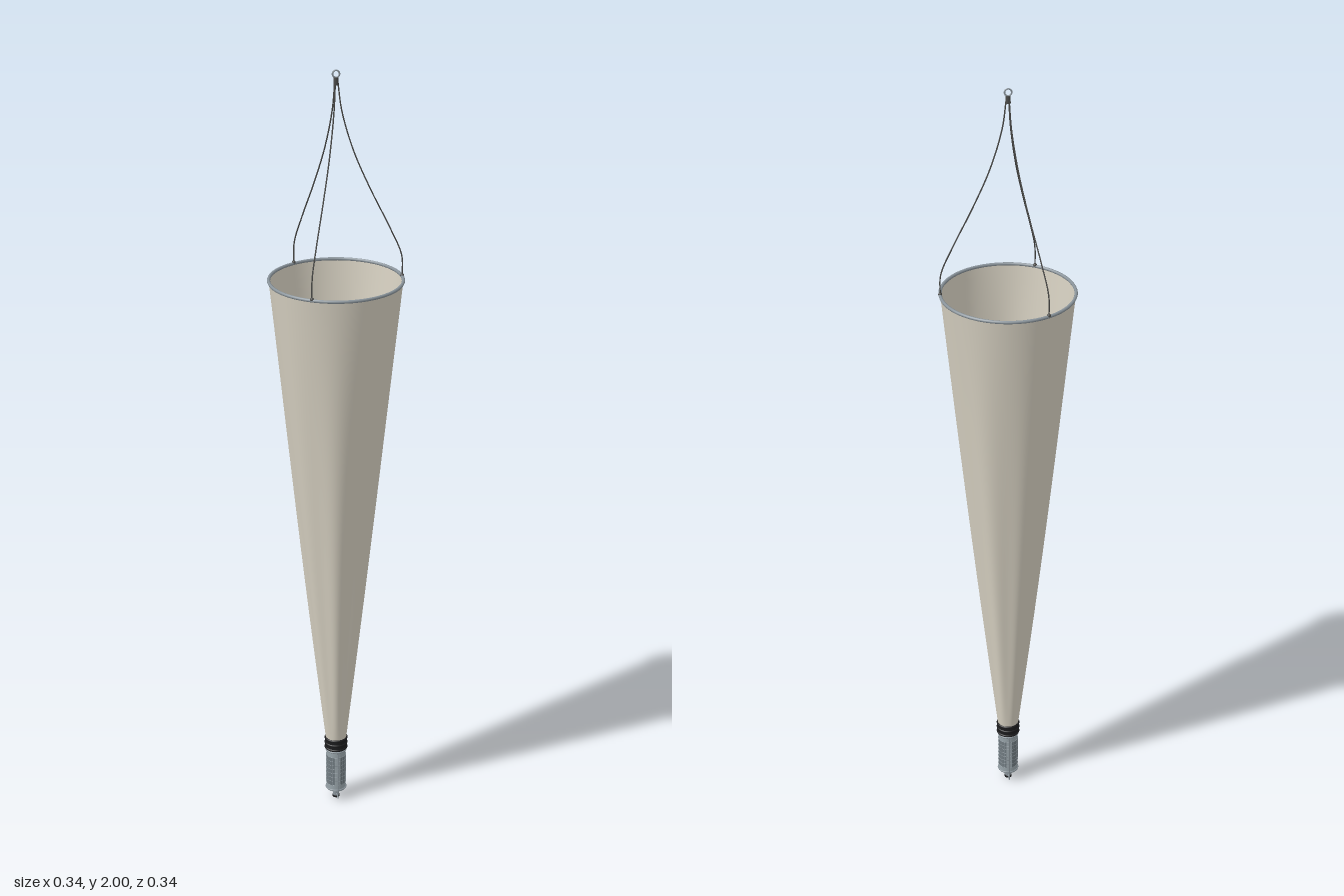
import * as THREE from 'three';

const mat = (name, color, side = THREE.FrontSide) => {
  const m = new THREE.MeshStandardMaterial({ color, side });
  m.name = name;
  return m;
};
const V = (x, y, z) => new THREE.Vector3(x, y, z);

export function createModel() {
  const group = new THREE.Group();
  const cloth = mat('cream mesh cloth', 0xd6d0c1, THREE.DoubleSide);
  const steel = mat('steel', 0x8a949b);
  const bucketGrey = mat('bucket grey', 0x99a5ab, THREE.DoubleSide);
  const rope = mat('dark rope', 0x4a4a48);
  const black = mat('black rubber', 0x1c1c1e);
  const gauze = mat('window gauze', 0x6f7a80, THREE.DoubleSide);

  const add = (name, geo, material, x = 0, y = 0, z = 0, parent = group) => {
    const mesh = new THREE.Mesh(geo, material);
    mesh.name = name;
    mesh.position.set(x, y, z);
    parent.add(mesh);
    return mesh;
  };
  const tube = (pts, r, seg = 40) =>
    new THREE.TubeGeometry(new THREE.CatmullRomCurve3(pts), seg, r, 6);
  const ring = (r, t, seg = 72) => new THREE.TorusGeometry(r, t, 8, seg).rotateX(Math.PI / 2);

  // Conical net with soft folds that fade out at the hoop and the clamp
  const yLow = 0.18, yHigh = 1.475;
  const net = new THREE.CylinderGeometry(0.166, 0.027, yHigh - yLow, 120, 48, true);
  net.translate(0, (yLow + yHigh) / 2, 0);
  const p = net.attributes.position;
  for (let i = 0; i < p.count; i++) {
    const t = (p.getY(i) - yLow) / (yHigh - yLow);
    const a = Math.atan2(p.getZ(i), p.getX(i));
    const fade = Math.sin(Math.PI * Math.pow(t, 0.6));
    const fold = 0.045 * Math.cos(7 * a + 0.6) + 0.03 * Math.cos(4 * a - 1.1);
    const k = 1 + fade * fold * (1 - 0.4 * t);
    p.setX(i, p.getX(i) * k);
    p.setZ(i, p.getZ(i) * k);
  }
  net.computeVertexNormals();
  // Match the normals of the two edges that meet at the wrap seam
  const n = net.attributes.normal;
  for (let row = 0; row <= 48; row++) {
    const a = row * 121, b = a + 120;
    const m = V(n.getX(a) + n.getX(b), n.getY(a) + n.getY(b), n.getZ(a) + n.getZ(b)).normalize();
    n.setXYZ(a, m.x, m.y, m.z);
    n.setXYZ(b, m.x, m.y, m.z);
  }
  add('net', net, cloth);

  // Mouth hoop
  add('mouthHoop', ring(0.166, 0.0042, 96), steel, 0, yHigh, 0);

  // Three bridle lines meeting at the tow ring
  const bridle = tube([[0.166, 1.475], [0.164, 1.53], [0.135, 1.6], [0.086, 1.7],
    [0.043, 1.8], [0.014, 1.9], [0.004, 1.975]].map(([x, y]) => V(x, y, 0)), 0.0018, 60);
  for (let i = 0; i < 3; i++) {
    const line = new THREE.Group();
    line.name = 'bridle';
    line.rotation.y = i * Math.PI * 2 / 3;
    add('bridleLine', bridle, rope, 0, 0, 0, line);
    add('bridleKnot', new THREE.SphereGeometry(0.005, 12, 8), rope, 0.166, 1.478, 0, line);
    group.add(line);
  }
  add('bridleWhipping', new THREE.CylinderGeometry(0.0055, 0.0065, 0.018, 16), rope, 0, 1.972, 0);
  add('towRing', new THREE.TorusGeometry(0.0085, 0.002, 8, 24), steel, 0, 1.9895, 0);

  // Clamp bands at the cod end
  add('clampCollar', new THREE.CylinderGeometry(0.029, 0.029, 0.034, 48, 1, true), black, 0, 0.17, 0);
  for (const y of [0.156, 0.17, 0.184]) add('clampBand', ring(0.0275, 0.0035, 48), black, 0, y, 0);

  // Collecting bucket, open at the top
  const wall = [[0, 0.028], [0.026, 0.028], [0.026, 0.156], [0.023, 0.156], [0.023, 0.034], [0, 0.034]];
  const parts = wall.slice(1).map((q, i) => [wall[i], q]);
  for (const [a, b] of parts) {
    add('bucketWall', new THREE.LatheGeometry([new THREE.Vector2(...a), new THREE.Vector2(...b)], 48), bucketGrey);
  }
  for (const y of [0.032, 0.148]) add('bucketRim', ring(0.0262, 0.0022, 48), steel, 0, y, 0);

  // Four gauze windows with crossing wires
  for (let i = 0; i < 4; i++) {
    const start = i * Math.PI / 2 + 0.3;
    add('gauzeWindow', new THREE.CylinderGeometry(0.0265, 0.0265, 0.085, 12, 1, true, start, 0.97),
      gauze, 0, 0.09, 0);
    for (let j = 0; j < 6; j++) {
      const a = start + 0.97 * j / 5;
      add('windowWire', new THREE.CylinderGeometry(0.0006, 0.0006, 0.085, 5), steel,
        Math.sin(a) * 0.0266, 0.09, Math.cos(a) * 0.0266);
    }
  }
  for (let j = 0; j < 8; j++) add('windowHoop', ring(0.0265, 0.0006, 40), steel, 0, 0.0475 + j * 0.0121, 0);

  // Drain spout under the bucket
  add('drainSpout', new THREE.CylinderGeometry(0.008, 0.008, 0.024, 20), steel, 0, 0.017, 0);
  add('drainFitting', new THREE.CylinderGeometry(0.01, 0.01, 0.004, 24), steel, 0, 0.036, 0);
  add('drainCap', new THREE.CylinderGeometry(0.0095, 0.0095, 0.005, 20), black, 0, 0.0025, 0);

  // Wire bail that runs down both sides and under the bucket
  const h = 0.0325, low = 0.012, high = 0.15;
  for (const s of [-1, 1]) {
    add('bailLeg', new THREE.CylinderGeometry(0.0015, 0.0015, high - low, 8), steel, 0, (high + low) / 2, s * h);
    add('bailLug', new THREE.BoxGeometry(0.006, 0.006, 0.01), steel, 0, high, s * 0.029);
    add('bailCorner', new THREE.SphereGeometry(0.0017, 8, 6), steel, 0, low, s * h);
  }
  add('bailBar', new THREE.CylinderGeometry(0.0015, 0.0015, 2 * h, 8).rotateX(Math.PI / 2), steel, 0, low, 0);

  return group;
}
